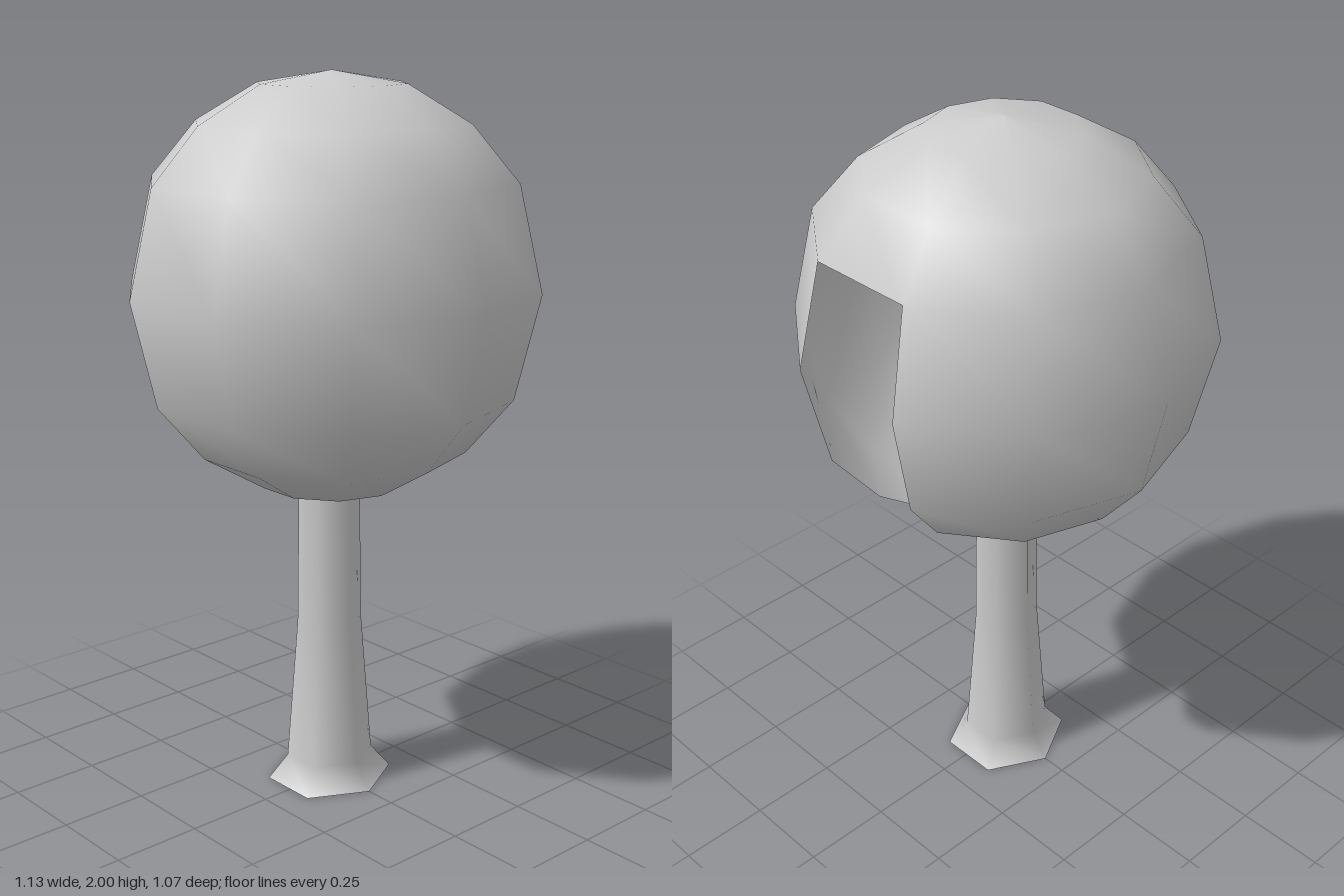
import * as THREE from 'three';

const material = new THREE.MeshStandardMaterial({ color: 0xcccccc, side: THREE.DoubleSide });
const lathe = (profile, sides) => new THREE.LatheGeometry(
  profile.map(([r, y]) => new THREE.Vector2(r, y)), sides, Math.PI / 2);

// Ten-sided hollow ball with one column of panels left open at the back
function crownGeometry() {
  const profile = [[0, 0.863], [0.2, 0.891], [0.37, 0.992], [0.497, 1.145], [0.563, 1.432],
    [0.497, 1.718], [0.37, 1.867], [0.2, 1.967], [0, 2]];
  const geometry = lathe(profile, 10);
  const index = geometry.getIndex().array;
  const rows = profile.length - 1;
  const kept = [];
  for (let i = 0; i < index.length; i += 6) {
    const quad = i / 6;
    const column = Math.floor(quad / rows), row = quad % rows;
    const open = column === 2 && row >= 1 && row <= 4;
    if (!open) kept.push(...index.slice(i, i + 6));
  }
  geometry.setIndex(kept);
  return geometry;
}

export function createModel() {
  const model = new THREE.Group();
  model.name = 'tree';
  const add = (name, geometry, parent = model) => {
    const mesh = new THREE.Mesh(geometry, material);
    mesh.name = name;
    parent.add(mesh);
    return mesh;
  };

  add('crown', crownGeometry());

  // Six-sided tapering trunk with a flared foot, slightly deeper than wide
  const trunk = new THREE.Group();
  trunk.name = 'trunk';
  trunk.position.x = -0.01;
  trunk.scale.z = 1.08;
  add('trunkShaft', lathe([[0.17, 0], [0.117, 0.068], [0.087, 0.48], [0.082, 0.88]], 6), trunk);
  add('trunkBase', new THREE.CircleGeometry(0.17, 6).rotateX(Math.PI / 2), trunk);
  model.add(trunk);

  return model;
}
